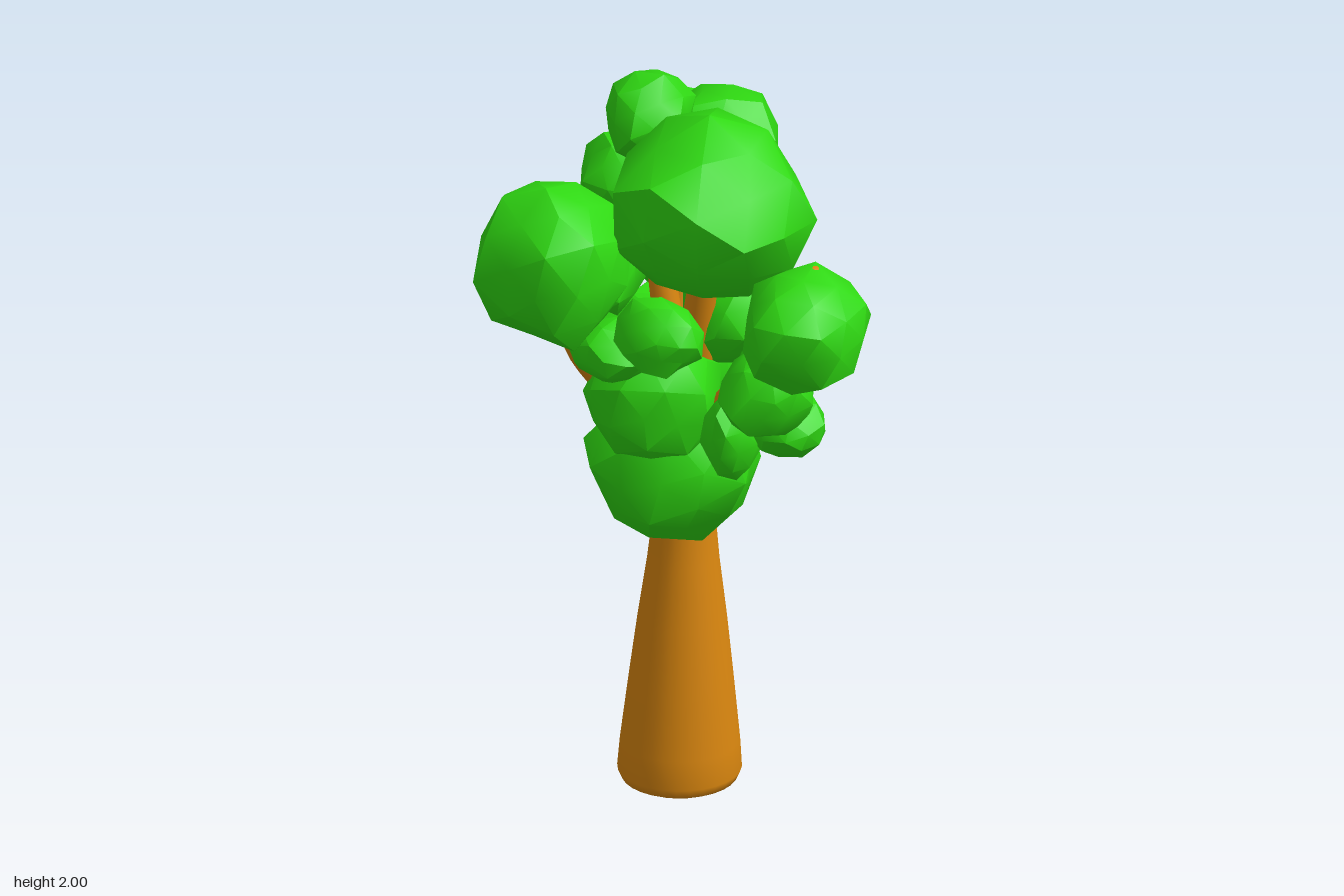
import * as THREE from 'three';
import { toCreasedNormals } from 'three/addons/utils/BufferGeometryUtils.js';

const leafMaterial = new THREE.MeshStandardMaterial({ color: 0x2fd912 });
const barkMaterial = new THREE.MeshStandardMaterial({ color: 0xd9860f });

// Repeatable value from 0 to 1 for a direction, so shared corners stay joined
function hash(x, y, z, seed) {
  const q = (n) => Math.round(n * 100);
  const s = Math.sin(q(x) * 12.9898 + q(y) * 78.233 + q(z) * 37.719 + seed * 4.137) * 43758.5453;
  return s - Math.floor(s);
}

// Lumpy leaf cluster: a coarse sphere with each corner pushed in or out
function leafCluster([x, y, z, rx, ry = rx, rz = rx], index) {
  const geometry = new THREE.IcosahedronGeometry(1, 1);
  geometry.rotateY(index * 1.3).rotateX(index * 0.7);
  const position = geometry.attributes.position;
  const v = new THREE.Vector3();
  for (let i = 0; i < position.count; i++) {
    v.fromBufferAttribute(position, i);
    v.multiplyScalar(0.87 + 0.2 * hash(v.x, v.y, v.z, index));
    position.setXYZ(i, v.x * rx, v.y * ry, v.z * rz);
  }
  const mesh = new THREE.Mesh(toCreasedNormals(geometry, 0.62), leafMaterial);
  mesh.name = 'leafCluster' + (index + 1);
  mesh.position.set(x, y, z);
  return mesh;
}

// Tapered round limb along a curve, closed by a dome at the tip
function limb(name, points, radiusStart, radiusEnd) {
  const curve = new THREE.CatmullRomCurve3(points.map((p) => new THREE.Vector3(...p)));
  const rings = 16, sides = 16;
  const geometry = new THREE.TubeGeometry(curve, rings, 1, sides);
  const position = geometry.attributes.position;
  const v = new THREE.Vector3();
  for (let i = 0; i <= rings; i++) {
    const centre = curve.getPointAt(i / rings);
    const radius = THREE.MathUtils.lerp(radiusStart, radiusEnd, i / rings);
    for (let j = 0; j <= sides; j++) {
      const k = i * (sides + 1) + j;
      v.fromBufferAttribute(position, k).sub(centre).multiplyScalar(radius).add(centre);
      position.setXYZ(k, v.x, v.y, v.z);
    }
  }
  const group = new THREE.Group();
  group.name = name;
  const tip = new THREE.Mesh(new THREE.SphereGeometry(radiusEnd, 12, 8), barkMaterial);
  tip.position.copy(curve.getPoint(1));
  group.add(new THREE.Mesh(geometry, barkMaterial), tip);
  return group;
}

export function createModel() {
  const tree = new THREE.Group();
  tree.name = 'tree';

  // Trunk with a rounded foot, leaning slightly as it rises
  const profile = [[0, 0], [0.13, 0.004], [0.152, 0.015], [0.163, 0.04], [0.157, 0.12], [0.137, 0.3],
    [0.117, 0.47], [0.094, 0.64], [0.08, 0.78], [0.07, 1.0], [0, 1.02]];
  const trunkGeometry = new THREE.LatheGeometry(profile.map(([r, y]) => new THREE.Vector2(r, y)), 28);
  const p = trunkGeometry.attributes.position;
  for (let i = 0; i < p.count; i++) p.setZ(i, p.getZ(i) - 0.025 * p.getY(i));
  const trunk = new THREE.Mesh(trunkGeometry, barkMaterial);
  trunk.name = 'trunk';
  trunk.position.set(-0.16, 0, -0.053);
  tree.add(trunk);

  // Branches
  tree.add(
    limb('topBranch', [[-0.16, 0.95, -0.07], [-0.1, 1.2, -0.04], [-0.06, 1.4, -0.02], [0, 1.7, 0]], 0.06, 0.03),
    limb('leftBranch', [[-0.15, 0.95, -0.07], [0.08, 1.2, -0.02], [0.24, 1.42, 0], [0.36, 1.632, 0.01]], 0.055, 0.03),
    limb('frontBranch', [[-0.18, 0.95, -0.06], [-0.29, 1.18, 0.1], [-0.31, 1.3, 0.18], [-0.3, 1.56, 0.27]], 0.055, 0.03),
    limb('backBranch', [[-0.18, 0.95, -0.08], [-0.24, 1.3, -0.15], [-0.27, 1.53, -0.25], [-0.28, 1.7, -0.34]], 0.055, 0.03),
    limb('peakBranch', [[-0.16, 1.1, -0.06], [-0.23, 1.45, -0.06], [-0.28, 1.85, -0.07]], 0.045, 0.025),
  );

  // Leaf clusters: x, y, z, then radius (or three radii)
  const clusters = [
    [0.0, 1.71, 0.01, 0.28, 0.26, 0.26],
    [0.365, 1.5, 0.055, 0.172, 0.165, 0.18],
    [-0.3, 1.57, 0.285, 0.21, 0.235, 0.21],
    [-0.28, 1.875, -0.07, 0.12, 0.128, 0.135],
    [-0.27, 1.7, -0.34, 0.17, 0.165, 0.155],
    [-0.39, 1.69, -0.34, 0.09, 0.12, 0.14],
    [-0.155, 0.925, -0.025, 0.235, 0.205, 0.235],
    [-0.145, 1.155, 0.06, 0.19, 0.18, 0.18],
    [-0.32, 1.12, -0.17, 0.2, 0.215, 0.21],
    [-0.32, 1.42, -0.26, 0.17, 0.145, 0.16],
    [-0.05, 1.35, -0.14, 0.14],
    [-0.4, 1.43, 0.0, 0.14, 0.175, 0.15],
    [-0.37, 1.68, -0.07, 0.12],
    [0.23, 1.27, 0.05, 0.125, 0.125, 0.135],
    [0.03, 1.44, 0.25, 0.13, 0.105, 0.1],
    [-0.15, 1.34, 0.23, 0.125, 0.09, 0.1],
    [0.2, 1.13, -0.07, 0.11, 0.085, 0.1],
    [0.09, 1.1, 0.02, 0.075, 0.13, 0.1],
    [0.13, 1.28, -0.15, 0.12, 0.11, 0.12],
  ];
  const foliage = new THREE.Group();
  foliage.name = 'foliage';
  clusters.forEach((c, i) => foliage.add(leafCluster(c, i)));
  tree.add(foliage);
  return tree;
}
